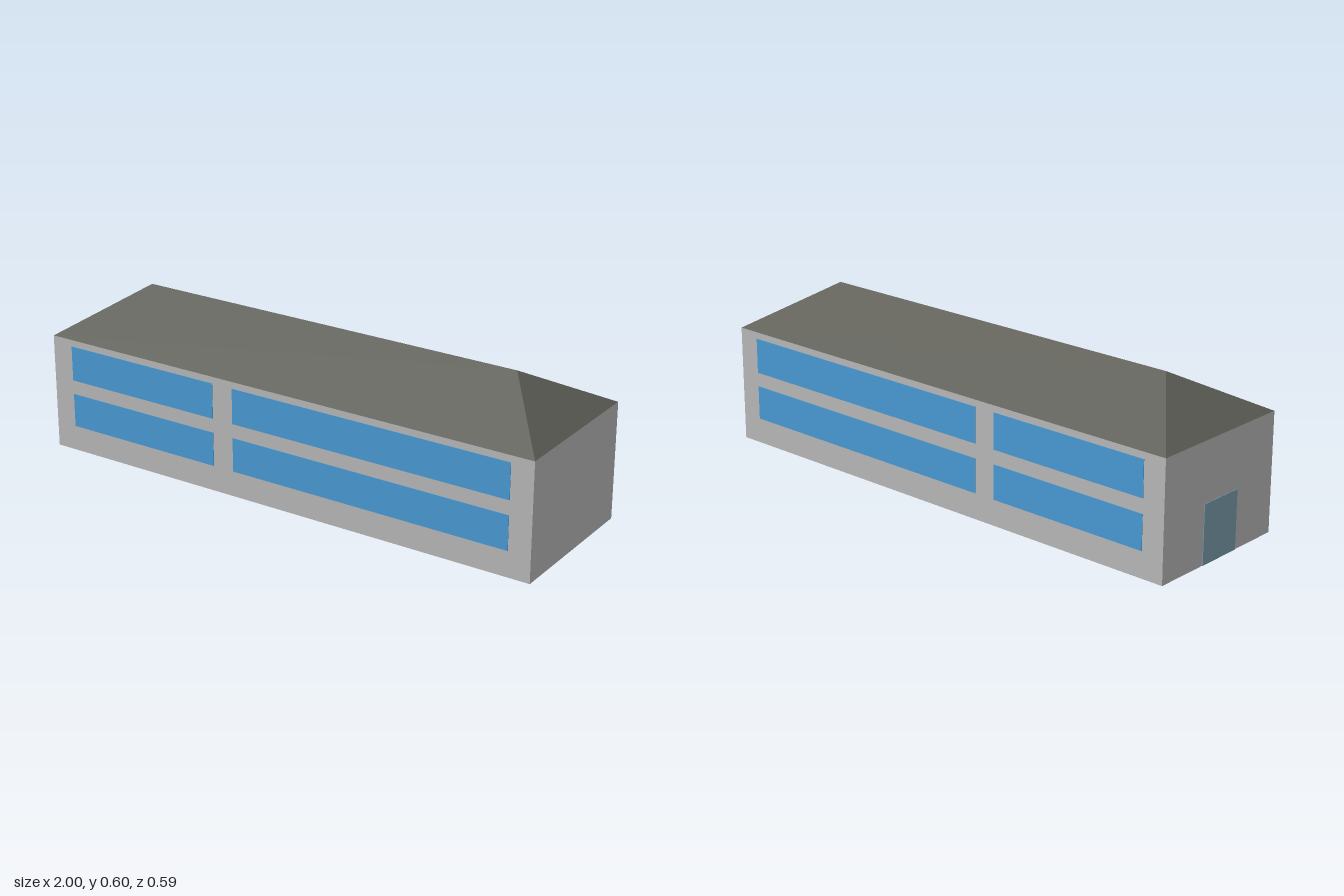
import * as THREE from 'three';

const mat = (name, color) => {
  const m = new THREE.MeshStandardMaterial({ color });
  m.name = name;
  return m;
};

export function createModel() {
  const wallGrey = mat('wallGrey', 0xb9b9b9);
  const roofGrey = mat('roofGrey', 0x5f5f58);
  const windowBlue = mat('windowBlue', 0x499bd5);
  const doorBlue = mat('doorBlue', 0x7b9fae);

  const W = 0.998, D = 0.293, EAVE = 0.437, RIDGE = 0.597, RIDGE_X = 0.765;
  const group = new THREE.Group();
  group.name = 'building';

  const box = (name, material, x0, x1, y0, y1, z0, z1) => {
    const mesh = new THREE.Mesh(new THREE.BoxGeometry(x1 - x0, y1 - y0, z1 - z0), material);
    mesh.position.set((x0 + x1) / 2, (y0 + y1) / 2, (z0 + z1) / 2);
    mesh.name = name;
    group.add(mesh);
  };

  // Main block
  box('walls', wallGrey, -W, W, 0, EAVE, -D, D);

  // Hipped roof: a box whose top face is pinched into the ridge
  const roofGeo = new THREE.BoxGeometry(2 * W, RIDGE - EAVE, 2 * D).toNonIndexed();
  const p = roofGeo.attributes.position;
  for (let i = 0; i < p.count; i++) {
    if (p.getY(i) > 0) {
      p.setX(i, Math.sign(p.getX(i)) * RIDGE_X);
      p.setZ(i, 0);
    }
  }
  roofGeo.computeVertexNormals();
  const roof = new THREE.Mesh(roofGeo, roofGrey);
  roof.position.y = (EAVE + RIDGE) / 2;
  roof.name = 'roof';
  group.add(roof);

  // Two floors of ribbon windows on the front and back
  for (const [side, z] of [['front', D], ['back', -D]]) {
    for (const [y0, y1] of [[0.097, 0.225], [0.279, 0.412]]) {
      for (const [x0, x1] of [[-0.913, -0.275], [-0.19, 0.913]]) {
        box(side + 'Window', windowBlue, x0, x1, y0, y1, z - 0.002, z + 0.002);
      }
    }
  }

  // Door on the right end
  box('door', doorBlue, -W - 0.002, -W + 0.002, 0, 0.217, -0.08, 0.098);

  return group;
}
